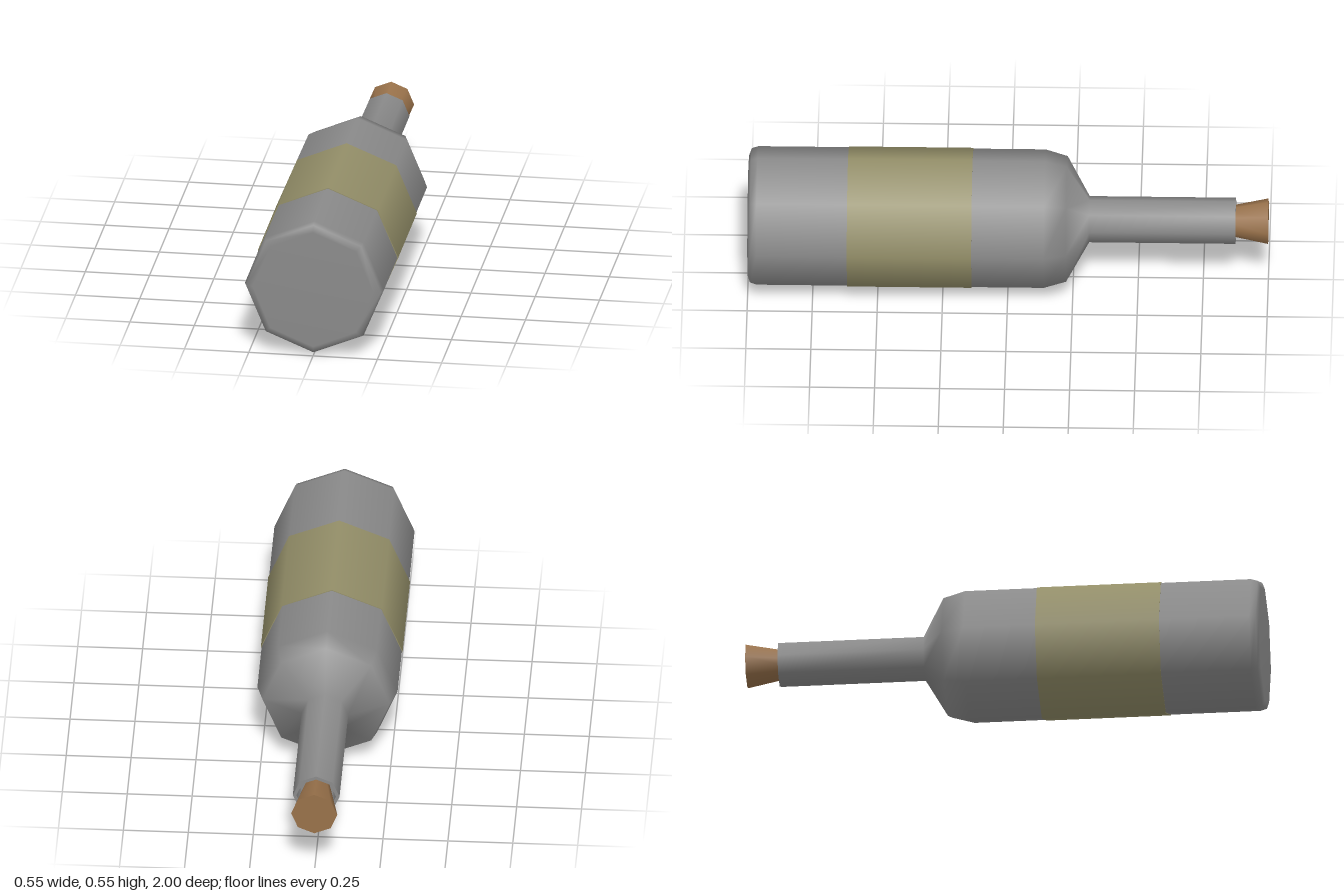
import * as THREE from 'three';

const SIDES = 8;
const AXIS_Y = 0.274;

const glass = new THREE.MeshStandardMaterial({ color: 0x8a8a8a });
glass.name = 'grey glass';
const paper = new THREE.MeshStandardMaterial({ color: 0x938e68 });
paper.name = 'olive paper';
const corkBrown = new THREE.MeshStandardMaterial({ color: 0x98714a });
corkBrown.name = 'cork brown';

// Eight-sided turned part lying along z; profile is [radius, distance towards the mouth]
function turned(name, profile, material) {
  const points = profile.map(([r, t]) => new THREE.Vector2(r, t));
  const mesh = new THREE.Mesh(new THREE.LatheGeometry(points, SIDES), material);
  mesh.geometry.rotateX(-Math.PI / 2);
  mesh.name = name;
  return mesh;
}

export function createModel() {
  const bottle = new THREE.Group();
  bottle.name = 'bottle';

  // Base, body, shoulder and neck
  bottle.add(turned('glassBody', [
    [0, -1], [0.235, -1], [0.262, -0.99], [0.27, -0.965],
    [0.27, 0.14], [0.245, 0.225], [0.09, 0.312], [0.09, 0.875],
  ], glass));

  // Lip and the hollow inside the mouth
  bottle.add(turned('lip', [[0.09, 0.875], [0.076, 0.875]], glass));
  bottle.add(turned('mouthInside', [[0.076, 0.875], [0.076, 0.79]], glass));
  bottle.add(turned('mouthFloor', [[0.076, 0.79], [0, 0.79]], glass));

  // Label band wrapped around the body, with thin edges
  bottle.add(turned('label', [[0.273, -0.617], [0.273, -0.138]], paper));
  bottle.add(turned('labelFrontEdge', [[0.27, -0.617], [0.273, -0.617]], paper));
  bottle.add(turned('labelBackEdge', [[0.273, -0.138], [0.27, -0.138]], paper));

  // Tapered cork, wider at the outer end
  const cork = new THREE.Mesh(new THREE.CylinderGeometry(0.089, 0.048, 0.2, SIDES), corkBrown);
  cork.geometry.rotateX(-Math.PI / 2);
  cork.position.z = -0.9;
  cork.name = 'cork';
  bottle.add(cork);

  bottle.position.y = AXIS_Y;
  const model = new THREE.Group();
  model.name = 'corkedBottle';
  model.add(bottle);
  return model;
}
